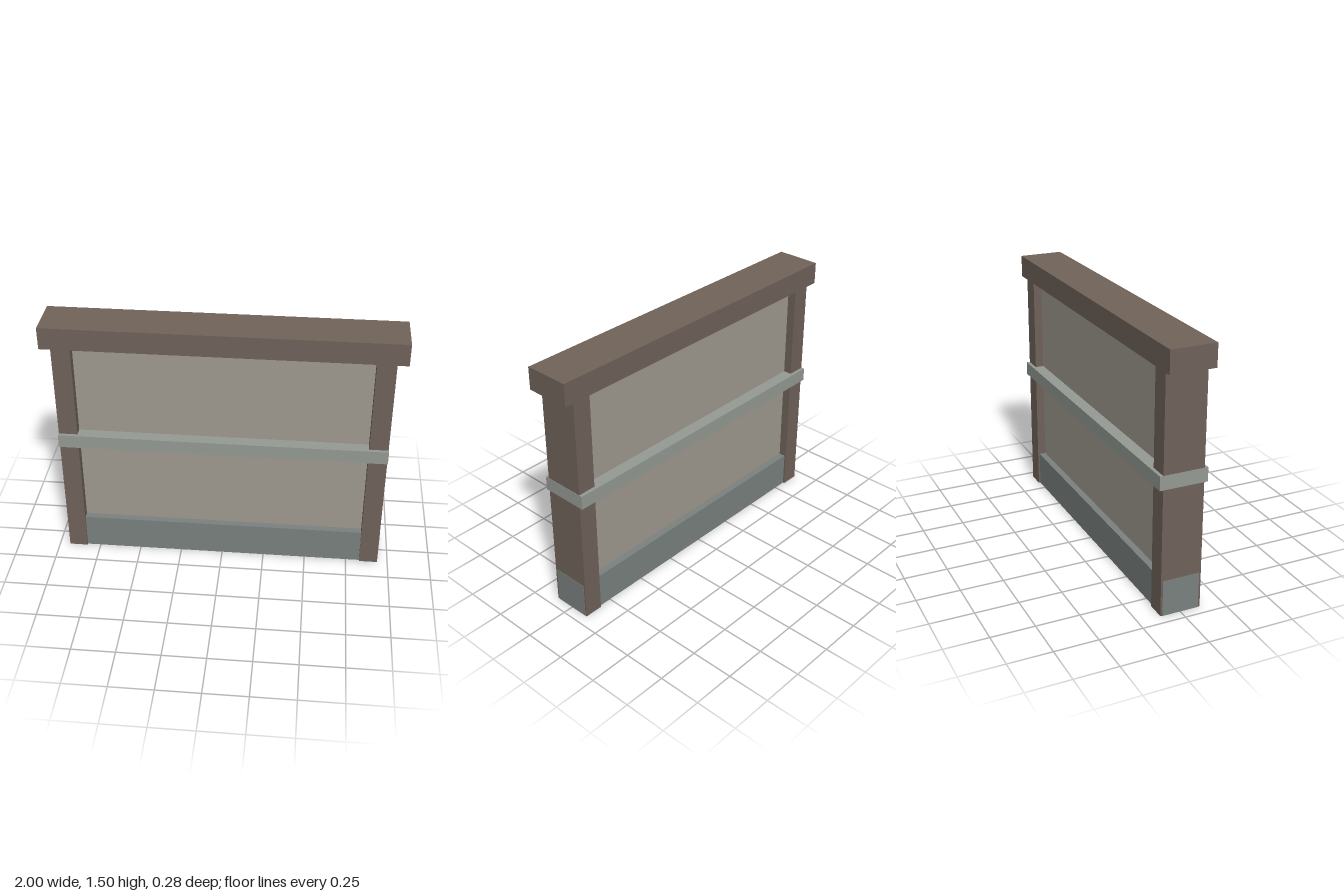
import * as THREE from 'three';

const mat = (color) => new THREE.MeshStandardMaterial({ color, flatShading: true });

export function createModel() {
  const group = new THREE.Group();
  group.name = 'wallSection';
  const timber = mat(0x70635a);
  const plaster = mat(0x9f998f);
  const railPaint = mat(0x959a94);
  const stone = mat(0x7a817e);

  // Box spanning x0..x1 and y0..y1, centred on z
  const slab = (name, x0, x1, y0, y1, depth, material) => {
    const mesh = new THREE.Mesh(new THREE.BoxGeometry(x1 - x0, y1 - y0, depth), material);
    mesh.position.set((x0 + x1) / 2, (y0 + y1) / 2, 0);
    mesh.name = name;
    group.add(mesh);
  };

  // Stone footing and recessed plaster panel
  slab('base', -0.94, 0.94, 0, 0.21, 0.214, stone);
  slab('panel', -0.9, 0.9, 0.2, 1.39, 0.134, plaster);

  // End posts, just inside the ends of the footing
  slab('rightPost', -0.938, -0.83, 0.001, 1.38, 0.236, timber);
  slab('leftPost', 0.83, 0.938, 0.001, 1.38, 0.236, timber);

  // Middle rail wrapping the posts, and the overhanging top beam
  slab('middleRail', -0.94, 0.94, 0.74, 0.82, 0.276, railPaint);
  slab('topBeam', -1, 1, 1.376, 1.505, 0.26, timber);

  return group;
}
